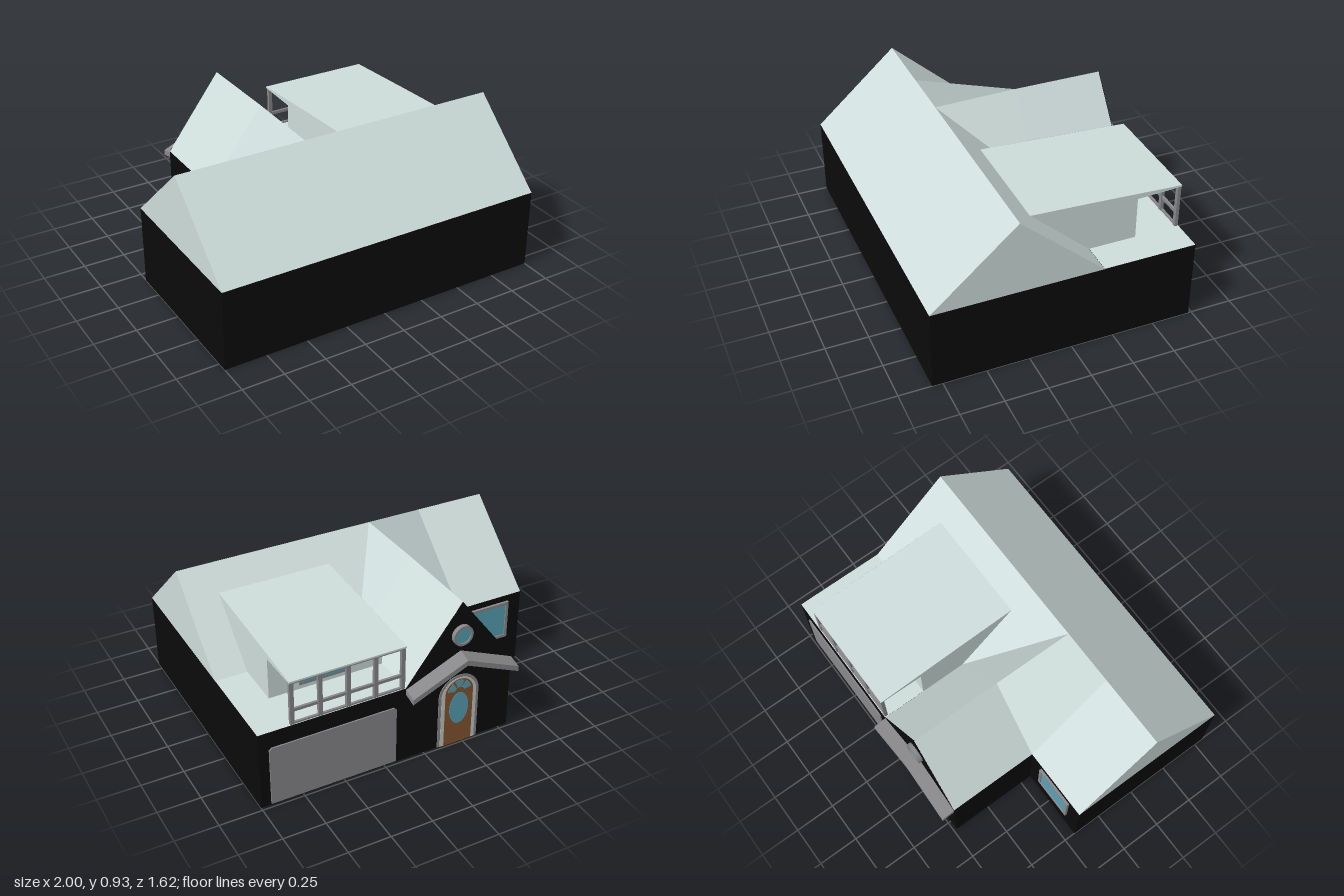
import * as THREE from 'three';

const mat = (name, color, side = THREE.FrontSide) => {
  const m = new THREE.MeshStandardMaterial({ color, side });
  m.name = name;
  return m;
};

export function createModel() {
  const house = new THREE.Group();
  house.name = 'house';
  const roof = mat('pale roof', 0xcddcda, THREE.DoubleSide);
  const black = mat('black wall', 0x0b0b0b);
  const grey = mat('grey trim', 0x88888a);
  const blue = mat('blue glass', 0x58a0b6);
  const brown = mat('brown wood', 0x84552f);
  const pale = mat('pale door surround', 0xc4c9c3);

  const add = (name, geo, material) => {
    const m = new THREE.Mesh(geo, material);
    m.name = name;
    house.add(m);
    return m;
  };
  // Box given by its limits on each axis
  const box = (name, material, [x0, x1], [y0, y1], [z0, z1]) =>
    add(name, new THREE.BoxGeometry(x1 - x0, y1 - y0, z1 - z0), material)
      .position.set((x0 + x1) / 2, (y0 + y1) / 2, (z0 + z1) / 2);
  // Flat polygon from its corners, optionally with one shared normal
  const face = (name, pts, normal) => {
    const tris = [];
    for (let i = 1; i < pts.length - 1; i++) tris.push(...pts[0], ...pts[i], ...pts[i + 1]);
    const geo = new THREE.BufferGeometry();
    geo.setAttribute('position', new THREE.Float32BufferAttribute(tris, 3));
    geo.computeVertexNormals();
    if (normal) {
      const n = new THREE.Vector3(...normal).normalize();
      for (let i = 0; i < tris.length / 3; i++) geo.attributes.normal.setXYZ(i, n.x, n.y, n.z);
    }
    return add(name, geo, roof);
  };
  const shapeOf = pts => new THREE.Shape(pts.map(p => new THREE.Vector2(...p)));
  // Upright plate in the x-y plane whose inner side lies at z
  const plate = (name, shape, material, z, depth) => {
    const geo = new THREE.ExtrudeGeometry(shape, { depth, bevelEnabled: false, curveSegments: 20 });
    geo.translate(0, 0, z - depth);
    return add(name, geo, material);
  };
  const arch = (cx, half, y0, spring) => {
    const s = new THREE.Shape();
    s.moveTo(cx - half, y0);
    s.lineTo(cx + half, y0);
    s.lineTo(cx + half, spring);
    s.absarc(cx, spring, half, 0, Math.PI, false);
    s.closePath();
    return s;
  };

  const E = 0.48, R = 0.92, P = 0.93;          // eave, main ridge, cross ridge heights
  const F = 0.81, M = 0.315, S = -0.18, B = -0.73; // front, ridge, inner back, outer back
  const CX = -0.22, L = -0.56, D = 0.12;       // cross gable centre and sides

  // Walls: L-shaped block
  const walls = new THREE.ExtrudeGeometry(
    shapeOf([[-1, -F], [1, -F], [1, -B], [L, -B], [L, -S], [-1, -S]]),
    { depth: E, bevelEnabled: false });
  walls.rotateX(-Math.PI / 2);
  add('walls', walls, black);
  plate('gableWall', shapeOf([[L, E], [D, E], [CX, P]]), black, B + 0.003, 0.003);

  // Main roof
  face('mainRoofFront', [[-1, E, F], [1, E, F], [1, R, M], [-1, R, M]]);
  face('mainRoofBack', [[1, E, S], [-1, E, S], [-1, R, M], [1, R, M]]);
  face('gableEndLeft', [[1, E, F], [1, E, S], [1, R, M]]);
  face('gableEndRight', [[-1, E, S], [-1, E, F], [-1, R, M]]);

  // Cross gable roof
  face('crossRoofRight', [[L, E, B], [L, E, S], [CX, P, S], [CX, P, B]]);
  face('crossRoofJoin', [[CX, P, S], [L, E, S], [L, R, M], [CX, R, M]], [-0.22, 0.34, -0.15]);
  face('crossRoofLeft', [[CX, P, B], [CX, P, S], [D, E, S], [D, E, B]]);
  face('crossRoofLeftInner', [[CX, P, S], [CX, R, M], [D, E, S]]);

  // Balcony deck and dormer
  const W = -0.46, D2 = 0.81, y = E + 0.002;
  face('balconyDeck', [[D, y, S], [1, y, S], [1, y, B], [D, y, B]]);
  face('dormerRoof', [[D, 0.8, 0.175], [D2, 0.8, 0.175], [D2, 0.755, B], [D, 0.755, B]]);
  face('dormerCeiling', [[D, 0.735, W], [D, 0.745, B], [D2, 0.745, B], [D2, 0.735, W]]);
  for (const x of [D, D2]) {
    face('dormerSide', [[x, 0.8, 0.175], [x, E, S], [x, E, W], [x, 0.735, W], [x, 0.783, -0.2]]);
    face('dormerEaveSide', [[x, 0.783, -0.2], [x, 0.735, W], [x, 0.745, B], [x, 0.755, B]]);
  }
  face('dormerRoofEdge', [[D, 0.745, B], [D, 0.755, B], [D2, 0.755, B], [D2, 0.745, B]]);
  face('dormerBack', [[D2, E, W], [D, E, W], [D, 0.735, W], [D2, 0.735, W]]);
  box('dormerWindowFrame', grey, [0.33, 0.63], [0.51, 0.71], [W - 0.008, W]);
  for (const x of [0.345, 0.487]) {
    box('dormerWindowGlass', blue, [x, x + 0.128], [0.525, 0.695], [W - 0.011, W - 0.004]);
  }

  // Balcony posts and rails
  for (let i = 0; i < 5; i++) {
    const x = 0.137 + i * 0.165;
    box('balconyPost', grey, [x - 0.012, x + 0.012], [E, 0.746], [-0.727, -0.707]);
  }
  for (const [y0, y1] of [[0.482, 0.492], [0.56, 0.578], [0.735, 0.748]]) {
    box('balconyRail', grey, [D + 0.01, D2 - 0.01], [y0, y1], [-0.725, -0.711]);
  }

  // Porch roof: a bent slab that dips outward
  const porch = new THREE.ExtrudeGeometry(
    shapeOf([[L, 0.44], [CX, 0.588], [D, 0.44], [D, 0.473], [CX, 0.621], [L, 0.473]]),
    { depth: 0.08, bevelEnabled: false });
  porch.translate(0, 0, B - 0.08);
  const pos = porch.attributes.position;
  for (let i = 0; i < pos.count; i++) {
    if (pos.getZ(i) < B - 0.04) pos.setY(i, pos.getY(i) - 0.02);
  }
  porch.computeVertexNormals();
  add('porchRoof', porch, grey);

  // Garage door with clipped top corners
  plate('garageDoor', shapeOf([[0.18, 0.01], [0.94, 0.01], [0.94, 0.365], [0.925, 0.38],
    [0.195, 0.38], [0.18, 0.365]]), grey, B, 0.008);

  // Arched entrance door
  plate('doorTrim', arch(CX, 0.13, 0, 0.33), grey, B, 0.004);
  plate('doorSurround', arch(CX, 0.113, 0, 0.33), pale, B, 0.006);
  plate('doorPanel', arch(CX, 0.09, 0, 0.345), brown, B, 0.008);
  const oval = new THREE.Shape();
  oval.absellipse(CX, 0.24, 0.062, 0.105, 0, Math.PI * 2, false, 0);
  plate('doorGlass', oval, blue, B, 0.01);
  for (const [a, b] of [[0.2, 0.98], [1.18, 1.96], [2.16, 2.94]]) {
    const pane = new THREE.Shape();
    pane.absarc(CX, 0.352, 0.076, a, b, false);
    pane.absarc(CX, 0.352, 0.03, b, a, true);
    pane.closePath();
    plate('transomGlass', pane, blue, B, 0.01);
  }

  // Round gable window
  const ring = new THREE.Shape();
  ring.absarc(CX, 0.727, 0.062, 0, Math.PI * 2, false);
  const hole = new THREE.Path();
  hole.absarc(CX, 0.727, 0.048, 0, Math.PI * 2, true);
  ring.holes.push(hole);
  plate('roundWindowFrame', ring, grey, B, 0.025);
  const disc = new THREE.Shape();
  disc.absarc(CX, 0.727, 0.05, 0, Math.PI * 2, false);
  plate('roundWindowGlass', disc, blue, B, 0.018);

  // Rectangular side window
  const frame = shapeOf([[-0.91, 0.19], [-0.65, 0.19], [-0.65, 0.44], [-0.91, 0.44]]);
  frame.holes.push(new THREE.Path([[-0.892, 0.208], [-0.892, 0.422], [-0.668, 0.422], [-0.668, 0.208]]
    .map(p => new THREE.Vector2(...p))));
  plate('sideWindowFrame', frame, grey, S, 0.016);
  box('sideWindowGlass', blue, [-0.895, -0.665], [0.205, 0.425], [S - 0.009, S]);

  return house;
}
